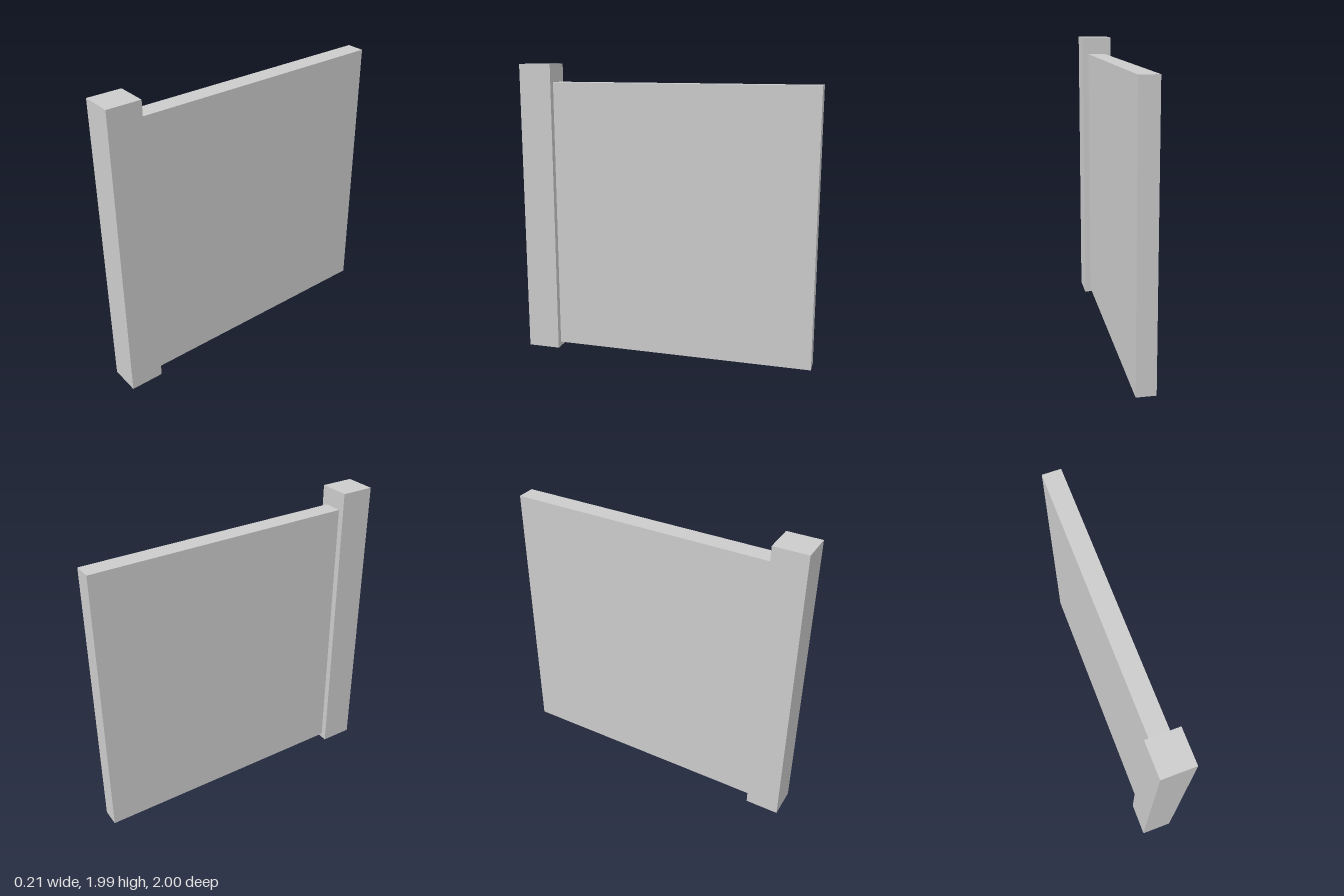
import * as THREE from 'three';

export function createModel() {
  const group = new THREE.Group();
  group.name = 'wallWithPost';
  const material = new THREE.MeshStandardMaterial({ color: 0xcccccc, flatShading: true });

  // Box centred on x = 0, given its width and its y and z extents
  const addBox = (name, width, y0, y1, z0, z1) => {
    const mesh = new THREE.Mesh(new THREE.BoxGeometry(width, y1 - y0, z1 - z0), material);
    mesh.position.set(0, (y0 + y1) / 2, (z0 + z1) / 2);
    mesh.name = name;
    group.add(mesh);
  };

  // Square end post, standing on the ground and rising above the panel
  addBox('post', 0.208, 0, 1.99, 0.777, 1);
  // Thin wall panel behind the post, raised slightly off the ground
  addBox('panel', 0.124, 0.03, 1.87, -1, 0.777);

  return group;
}
